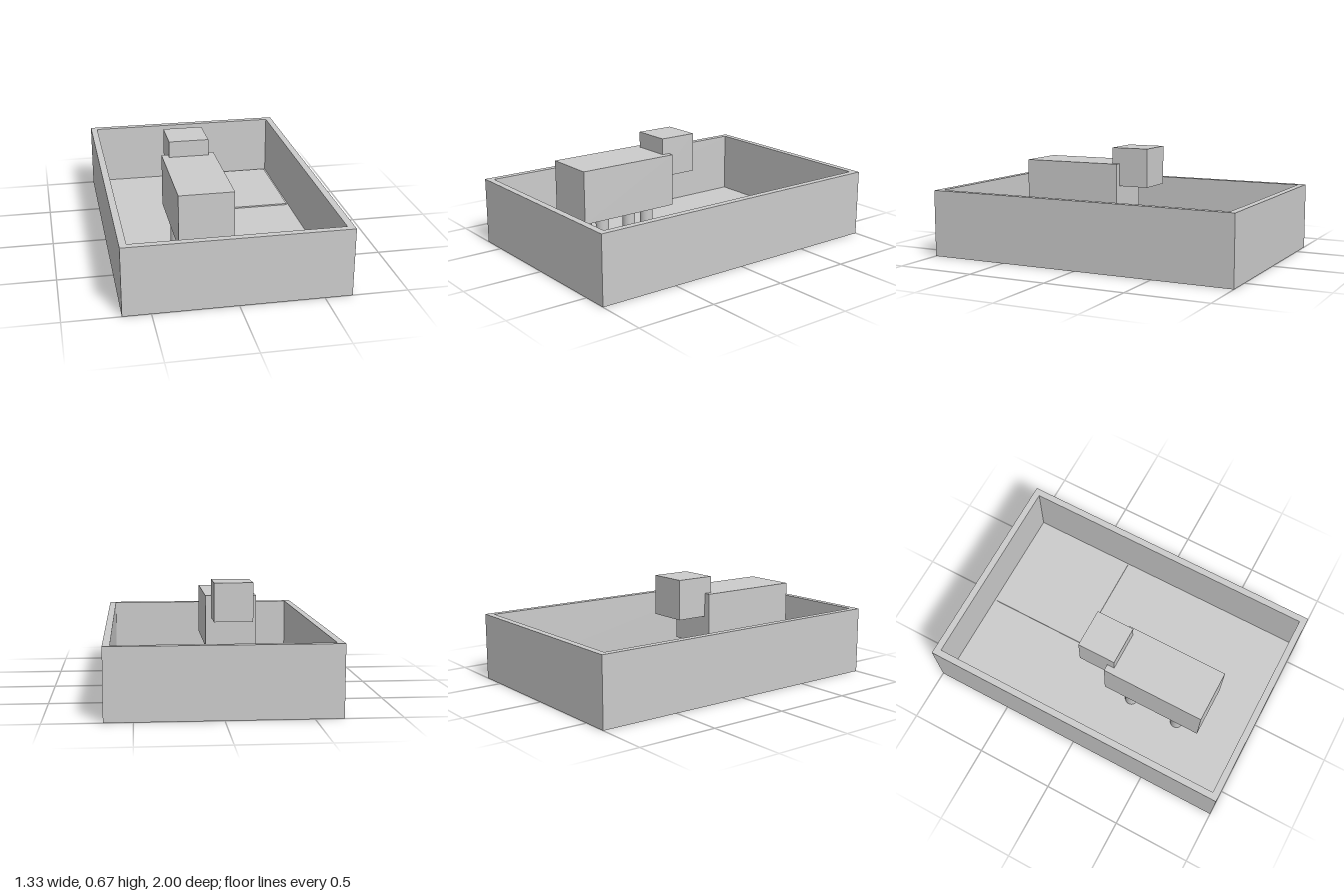
import * as THREE from 'three';

const grey = new THREE.MeshStandardMaterial({ color: 0xcccccc });

export function createModel() {
  const model = new THREE.Group();

  // Box given by its extents along each axis
  function box(name, [x0, x1], [y0, y1], [z0, z1], parent = model) {
    const mesh = new THREE.Mesh(new THREE.BoxGeometry(x1 - x0, y1 - y0, z1 - z0), grey);
    mesh.position.set((x0 + x1) / 2, (y0 + y1) / 2, (z0 + z1) / 2);
    mesh.name = name;
    parent.add(mesh);
  }

  // Open pen: floor and four walls
  const X = 0.665, Z = 1, H = 0.42, T = 0.042, floorTop = 0.025;
  const pen = new THREE.Group();
  pen.name = 'pen';
  model.add(pen);
  box('floor', [-X, X], [0, floorTop], [-Z, Z], pen);
  box('leftWall', [X - T, X], [floorTop, H], [-Z, Z], pen);
  box('rightWall', [-X, -X + T], [floorTop, H], [-Z, Z], pen);
  box('frontWall', [-X + T, X - T], [floorTop, H], [Z - T, Z], pen);
  box('backWall', [-X + T, X - T], [floorTop, H], [-Z, -Z + T], pen);

  // Thin square mat in the back corner
  box('mat', [-0.05, 0.61], [floorTop, 0.034], [-0.94, -0.275]);

  // Blocky animal standing in the pen
  const animal = new THREE.Group();
  animal.name = 'animal';
  model.add(animal);
  const bodyBottom = 0.24;
  box('body', [-0.297, 0.032], [bodyBottom, 0.57], [0.04, 0.702], animal);
  box('head', [-0.255, -0.008], [0.425, 0.672], [-0.158, 0.088], animal);

  // Four round legs
  const legHeight = bodyBottom - floorTop;
  const legGeometry = new THREE.CylinderGeometry(0.041, 0.041, legHeight, 24);
  for (const x of [-0.23, -0.035]) {
    for (const z of [0.2, 0.535]) {
      const leg = new THREE.Mesh(legGeometry, grey);
      leg.position.set(x, floorTop + legHeight / 2, z);
      leg.name = 'leg';
      animal.add(leg);
    }
  }

  return model;
}
